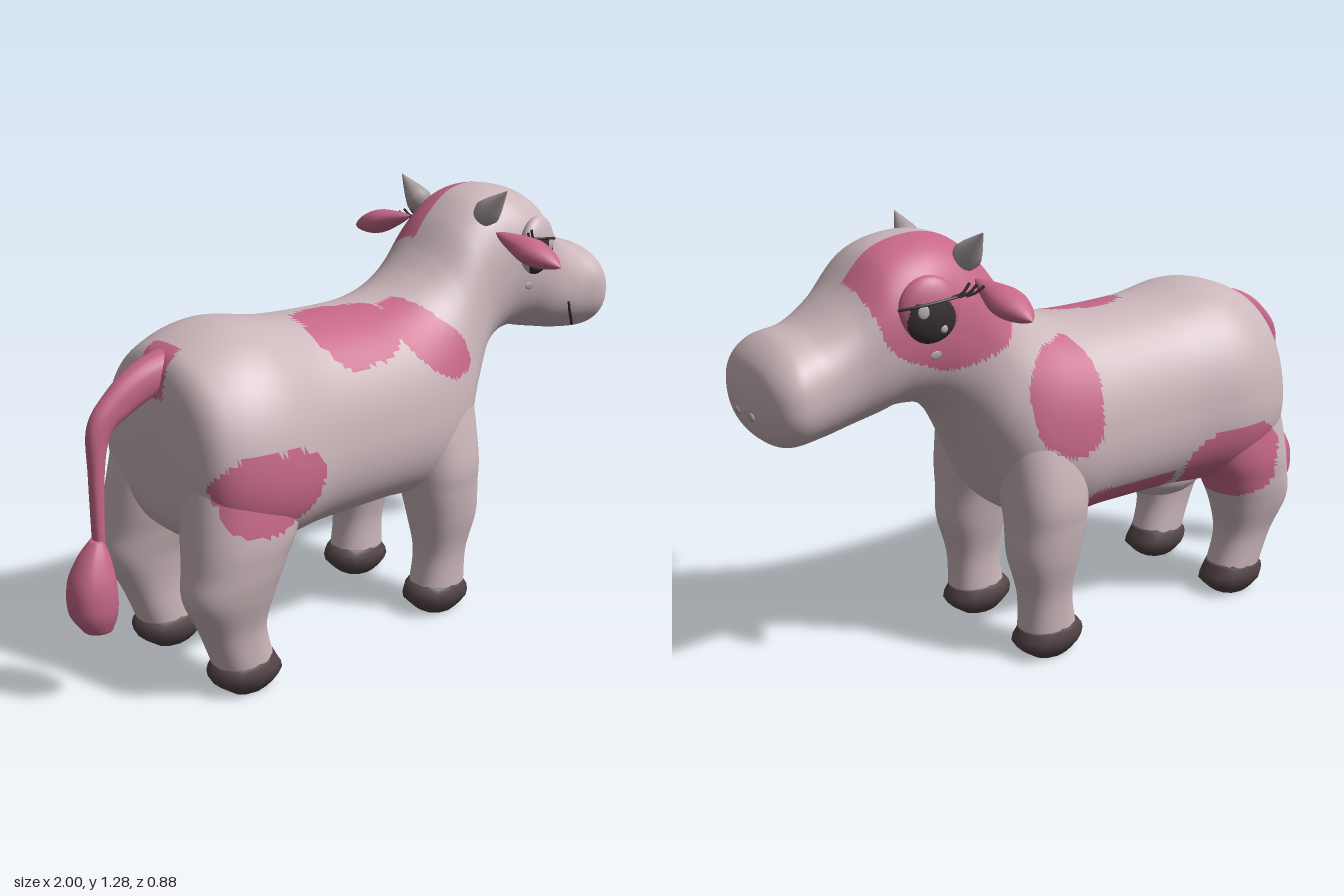
import * as THREE from 'three';

const mat = (name, color) => Object.assign(new THREE.MeshStandardMaterial({ color }), { name });

// Catmull-Rom blend of whole rows of numbers
function rowAt(rows, t) {
  const n = rows.length - 1, s = Math.min(Math.floor(t * n), n - 1), f = t * n - s;
  const [a, b, c, d] = [-1, 0, 1, 2].map(o => rows[Math.max(0, Math.min(n, s + o))]);
  return b.map((_, i) => 0.5 * (2 * b[i] + (c[i] - a[i]) * f +
    (2 * a[i] - 5 * b[i] + 4 * c[i] - d[i]) * f * f + (3 * b[i] - a[i] - 3 * c[i] + d[i]) * f ** 3));
}

// Loft through rounded sections: [x1, y1, x2, y2, half width, centre z, egg shape]
function loft(rows, steps, sides) {
  const pos = [], idx = [], soft = v => Math.sign(v) * Math.abs(v) ** 0.87;
  const ends = [];
  for (let i = 0; i <= steps; i++) {
    const [x1, y1, x2, y2, w, z = 0, k = 0] = rowAt(rows, i / steps);
    for (let j = 0; j < sides; j++) {
      const a = j / sides * Math.PI * 2, s = soft(Math.sin(a)), c = soft(Math.cos(a));
      pos.push((x1 + x2) / 2 + (x1 - x2) / 2 * s, (y1 + y2) / 2 + (y1 - y2) / 2 * s, z + w * c * (1 - k * s));
      if (i < steps) {
        const p = i * sides + j, q = i * sides + (j + 1) % sides;
        idx.push(p, q, p + sides, q, q + sides, p + sides);
      }
    }
    if (i === 0 || i === steps) ends.push((x1 + x2) / 2, (y1 + y2) / 2, z);
  }
  const tip = pos.length / 3, last = steps * sides;
  pos.push(...ends);
  for (let j = 0; j < sides; j++) {
    const n = (j + 1) % sides;
    idx.push(tip, n, j, tip + 1, last + j, last + n);
  }
  // Turn the faces outward if the enclosed volume is negative
  let volume = 0;
  const P = i => new THREE.Vector3(...pos.slice(i * 3, i * 3 + 3));
  for (let i = 0; i < idx.length; i += 3) volume += P(idx[i]).dot(P(idx[i + 1]).cross(P(idx[i + 2])));
  if (volume < 0) idx.reverse();
  const g = new THREE.BufferGeometry();
  g.setAttribute('position', new THREE.Float32BufferAttribute(pos, 3));
  g.setIndex(idx);
  g.computeVertexNormals();
  return g;
}

// Sort triangles into two material groups by a rule on their centres
function paint(g, rule) {
  const p = g.attributes.position, src = g.index.array, lists = [[], []];
  for (let i = 0; i < src.length; i += 3) {
    const t = [src[i], src[i + 1], src[i + 2]];
    const mid = f => (f(t[0]) + f(t[1]) + f(t[2])) / 3;
    lists[rule(mid(k => p.getX(k)), mid(k => p.getY(k)), mid(k => p.getZ(k))) ? 1 : 0].push(...t);
  }
  g.setIndex([...lists[0], ...lists[1]]);
  g.addGroup(0, lists[0].length, 0);
  g.addGroup(lists[0].length, lists[1].length, 1);
  return g;
}

// Hide patches, with slightly wavy edges
const oval = (u, v, cu, cv, ru, rv) => {
  const a = (u - cu) / ru, b = (v - cv) / rv, t = Math.atan2(b, a);
  return Math.abs(a) ** 2.6 + Math.abs(b) ** 2.6 < 1 + 0.12 * Math.sin(3 * t + 1) + 0.06 * Math.sin(7 * t);
};
function isPatch(x, y, z) {
  if (y > 0.8 && oval(x, z, -0.13, 0.11, 0.155, 0.125)) return true;             // back
  if (z > 0.06 && y > 0.7) {                                                      // left shoulder
    const dx = x - 0.12, dy = y - 0.875;
    if (oval(dx * 0.74 - dy * 0.67, dx * 0.67 + dy * 0.74, 0, 0, 0.135, 0.075)) return true;
  }
  if (z > 0.1 && oval(x, y, -0.55, 0.61, 0.165, 0.11)) return true;               // left flank
  if (z < -0.12 && oval(x, y, 0.14, 0.79, 0.115, 0.16)) return true;              // right shoulder
  if (z < -0.1 && oval(x, y, -0.47, 0.49, 0.17, 0.12)) return true;               // right thigh
  if (y < 0.5 && oval(x, z, -0.1, -0.12, 0.19, 0.2)) return true;                 // belly
  if (z < -0.03 && oval(x, y, 0.48, 1.13, 0.22, 0.2)) return true;                // right cheek
  return x < -0.66 && y > 0.84 && Math.abs(z) < 0.06;                             // tail root
}

export function createModel() {
  const root = new THREE.Group();
  root.name = 'cow';
  const hide = mat('hide', 0xcbb6ba), pink = mat('pink patch', 0xc76889), hoofMat = mat('hoof', 0x524446);
  const horn = mat('horn', 0xa99ea0), dark = mat('eye dark', 0x3b3234), shine = mat('eye shine', 0xb9b0b2);
  const add = (name, geometry, material, parent = root) => {
    const m = new THREE.Mesh(geometry, material);
    m.name = name;
    parent.add(m);
    return m;
  };
  const ball = (name, material, p, r, parent) => {
    const m = add(name, new THREE.SphereGeometry(1, 24, 16), material, parent);
    m.position.set(...p);
    m.scale.set(...r);
    return m;
  };

  // Torso, neck and head in one sweep from rump to muzzle
  const body = add('body', paint(loft([
    [-0.735, 0.76, -0.735, 0.64, 0.07, 0, 0.1],
    [-0.71, 0.92, -0.72, 0.50, 0.23, 0, 0.12],
    [-0.64, 0.98, -0.65, 0.42, 0.30, 0, 0.14],
    [-0.50, 1.012, -0.50, 0.38, 0.325, 0, 0.14],
    [-0.30, 0.983, -0.30, 0.385, 0.295, 0, 0.12],
    [-0.05, 0.975, -0.05, 0.385, 0.29, 0, 0.12],
    [0.08, 0.99, 0.10, 0.38, 0.285, 0, 0.12],
    [0.17, 1.03, 0.25, 0.44, 0.262, 0, 0.12],
    [0.24, 1.09, 0.34, 0.60, 0.225, 0, 0.08],
    [0.32, 1.19, 0.42, 0.73, 0.20, 0, 0],
    [0.41, 1.255, 0.50, 0.795, 0.20, 0, 0],
    [0.52, 1.27, 0.60, 0.81, 0.21, 0, 0],
    [0.64, 1.235, 0.66, 0.795, 0.203, 0, 0],
    [0.74, 1.13, 0.75, 0.775, 0.183, 0, 0],
    [0.83, 1.065, 0.83, 0.76, 0.183, 0, 0],
    [0.92, 1.04, 0.92, 0.755, 0.193, 0, 0],
    [0.975, 0.99, 0.968, 0.79, 0.15, 0, 0],
    [0.995, 0.92, 0.995, 0.86, 0.045, 0, 0]], 200, 112), isPatch), [hide, pink]);
  ball('udder', hide, [-0.42, 0.40, 0], [0.15, 0.085, 0.13]);

  // Tail and tuft
  add('tail', loft([
    [-0.64, 0.97, -0.68, 0.86, 0.055], [-0.76, 0.935, -0.74, 0.83, 0.042], [-0.85, 0.875, -0.80, 0.80, 0.033],
    [-0.915, 0.79, -0.855, 0.76, 0.027], [-0.92, 0.65, -0.88, 0.65, 0.022], [-0.92, 0.45, -0.89, 0.45, 0.02]], 50, 20), pink);
  add('tailTuft', loft([
    [-0.925, 0.48, -0.895, 0.48, 0.02], [-0.965, 0.43, -0.88, 0.43, 0.045], [-0.997, 0.36, -0.87, 0.36, 0.065],
    [-0.997, 0.28, -0.868, 0.28, 0.063], [-0.965, 0.225, -0.885, 0.22, 0.04]], 20, 16), pink);

  // Height of the skin at a point on the side of the head
  root.updateMatrixWorld(true);
  const skin = (x, y, s) => {
    const ray = new THREE.Raycaster(new THREE.Vector3(x, y, s), new THREE.Vector3(0, 0, -s));
    return ray.intersectObject(body)[0]?.point.z ?? s * 0.18;
  };

  for (const s of [1, -1]) {
    const side = s > 0 ? 'Right' : 'Left';
    // Legs, [back x, y, front x, y, half width, z]
    const leg = (name, rows, hx) => {
      const place = r => r.map(([a, y, b, w, z]) => [a, y, b, y, w, z * s]);
      add(name + 'Leg' + side, paint(loft(place(rows), 50, 48), isPatch), [hide, pink]);
      add(name + 'Hoof' + side, loft(place([
        [hx - 0.08, 0.105, hx + 0.08, 0.07, 0.188], [hx - 0.108, 0.085, hx + 0.09, 0.08, 0.188],
        [hx - 0.108, 0.045, hx + 0.108, 0.083, 0.187], [hx - 0.06, 0.004, hx + 0.06, 0.055, 0.187]]), 6, 12), hoofMat);
    };
    leg('front', [
      [0.04, 0.75, 0.30, 0.10, 0.15], [0.05, 0.52, 0.295, 0.125, 0.175], [0.06, 0.42, 0.29, 0.115, 0.185],
      [0.08, 0.32, 0.29, 0.10, 0.19], [0.10, 0.20, 0.262, 0.075, 0.19], [0.085, 0.09, 0.26, 0.074, 0.188]], 0.172);
    leg('hind', [
      [-0.70, 0.78, -0.40, 0.11, 0.16], [-0.74, 0.52, -0.41, 0.135, 0.185], [-0.755, 0.40, -0.46, 0.12, 0.197],
      [-0.765, 0.31, -0.495, 0.10, 0.20], [-0.715, 0.20, -0.52, 0.077, 0.192], [-0.672, 0.09, -0.495, 0.074, 0.188]], -0.575);

    // Ear, a flattened leaf pointing outward
    const leaf = [[0.001, 0], [0.018, 0.03], [0.035, 0.08], [0.05, 0.14], [0.044, 0.19], [0.024, 0.235], [0.001, 0.265]];
    const ear = add('ear' + side, new THREE.LatheGeometry(
      new THREE.SplineCurve(leaf.map(p => new THREE.Vector2(...p))).getPoints(24), 20), pink);
    ear.scale.set(1.05, 1, 0.75);
    ear.position.set(0.40, 1.155, s * 0.185);
    ear.rotation.x = s * (Math.PI / 2 + 0.25);

    // Horn
    const tip = [[0.001, -0.03], [0.034, -0.015], [0.041, 0.01], [0.032, 0.04], [0.016, 0.08], [0.001, 0.115]];
    const h = add('horn' + side, new THREE.LatheGeometry(tip.map(p => new THREE.Vector2(...p)), 20), horn);
    h.position.set(0.40, 1.205, s * 0.14);
    h.rotation.x = s * 0.82;

    // Eye: flattened ball with an iris area below a lid
    const eye = new THREE.Group();
    eye.name = 'eye' + side;
    eye.position.set(0.56, 1.10, s * 0.208);
    eye.rotation.y = s * 0.2;
    root.add(eye);
    const globe = new THREE.SphereGeometry(1, 64, 48).scale(0.083, 0.09, 0.036);
    add('eyeball', paint(globe, (x, y) => y < 0.022 && Math.hypot(x, y + 0.026) < 0.066), [s > 0 ? hide : pink, dark], eye);
    ball('shineLarge', shine, [0.026, 0.002, s * 0.034], [0.016, 0.018, 0.004], eye);
    ball('shineSmall', shine, [-0.03, -0.048, s * 0.028], [0.01, 0.011, 0.004], eye);
    const lash = (name, pts) => add(name, new THREE.TubeGeometry(new THREE.CatmullRomCurve3(
      pts.map(([x, y, z]) => new THREE.Vector3(x, y, s * z))), 12, 0.004, 6), dark, eye);
    lash('lidLine', [[-0.10, 0.035, 0.016], [-0.05, 0.03, 0.031], [0, 0.024, 0.037], [0.05, 0.016, 0.031], [0.088, 0.008, 0.012]]);
    for (const [i, x] of [-0.095, -0.075, -0.055].entries())
      lash('eyelash' + i, [[x, 0.03, 0.022], [x - 0.025, 0.04, 0.03], [x - 0.045, 0.056 + i * 0.006, 0.036]]);

    // Cheek spot and nostril
    ball('cheekSpot' + side, horn, [0.54, 0.975, skin(0.54, 0.975, s)], [0.018, 0.012, 0.004]);
    ball('nostril' + side, horn, [0.99, 0.85, s * 0.04], [0.008, 0.013, 0.013]);
  }

  // Smile line on the left cheek
  const smile = [[0.765, 0.885], [0.785, 0.85], [0.815, 0.815], [0.845, 0.79], [0.86, 0.78]]
    .map(([x, y]) => new THREE.Vector3(x, y, skin(x, y, 1)));
  add('mouth', new THREE.TubeGeometry(new THREE.CatmullRomCurve3(smile), 24, 0.005, 6), dark);
  return root;
}
